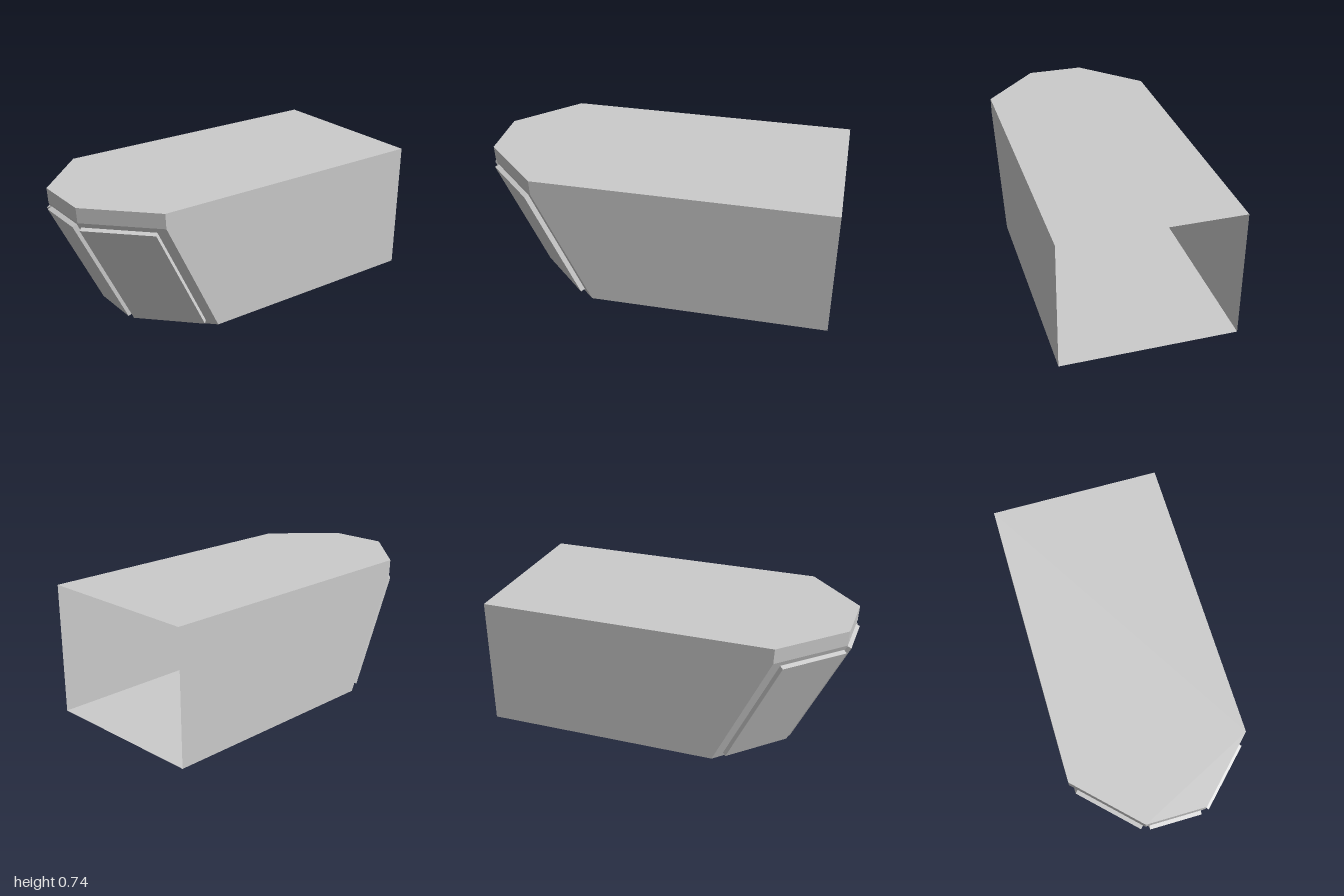
import * as THREE from 'three';

const material = new THREE.MeshStandardMaterial({ color: 0xcccccc, flatShading: true, side: THREE.DoubleSide });

function addMesh(group, name, geometry) {
  const mesh = new THREE.Mesh(geometry, material);
  mesh.name = name;
  group.add(mesh);
}

// Skin of flat quads between outlines of [x, y, z] points
function loft(rings, closed) {
  const pos = [];
  for (let r = 0; r < rings.length - 1; r++) {
    const lo = rings[r], hi = rings[r + 1], n = lo.length;
    for (let i = 0; i < (closed ? n : n - 1); i++) {
      const j = (i + 1) % n;
      pos.push(...lo[i], ...lo[j], ...hi[j], ...lo[i], ...hi[j], ...hi[i]);
    }
  }
  const g = new THREE.BufferGeometry();
  g.setAttribute('position', new THREE.Float32BufferAttribute(pos, 3));
  g.computeVertexNormals();
  return g;
}

// Flat horizontal plate from [x, z] outlines
function plate(outline, y, hole) {
  const toPoints = (pts) => pts.map(([x, z]) => new THREE.Vector2(x, -z));
  const shape = new THREE.Shape(toPoints(outline));
  if (hole) shape.holes.push(new THREE.Path(toPoints(hole)));
  return new THREE.ShapeGeometry(shape).rotateX(-Math.PI / 2).translate(0, y, 0);
}

const atHeight = (pts, y) => pts.map(([x, z]) => [x, y, z]);

// Plan of the body with a chamfered nose, for a given nose position
const W = 0.49, NOSE = 0.165, H = 0.74, BROW = 0.655, Z0 = 0.665, Z1 = 0.983;
const plan = (z) => [
  [-W, -1], [-W, z - W + NOSE], [-NOSE, z], [NOSE, z], [W, z - W + NOSE], [W, -1],
];

// Raised sheet on a nose facet: front(x, y) gives the z of the outer face
function panel(x0, x1, y0, y1, front, normal, thickness) {
  const corners = [[x0, y0], [x1, y0], [x1, y1], [x0, y1]].map(([x, y]) => new THREE.Vector3(x, y, front(x, y)));
  const inner = corners.map((p) => p.clone().addScaledVector(normal, -thickness).toArray());
  const outer = corners.map((p) => p.toArray());
  const centre = outer[0].map((v, k) => (v + outer[2][k]) / 2);
  return loft([inner, outer, outer.map(() => centre)], true);
}

export function createModel() {
  const group = new THREE.Group();

  // Body shell, open at the back
  const bottom = plan(Z0), top = plan(0.988);
  addMesh(group, 'bodyWalls', loft([atHeight(bottom, 0), atHeight(plan(Z1), BROW), atHeight(top, H)], false));
  addMesh(group, 'roof', plate(top, H));

  // Floor with a hollow U-shaped console rising from it
  const console = [
    [-0.42, 0.24], [-0.14, 0.59], [0.14, 0.59], [0.42, 0.24],
    [0.28, 0.24], [0.15, 0.4], [-0.15, 0.4], [-0.28, 0.24],
  ];
  addMesh(group, 'floor', plate(bottom, 0, console));
  addMesh(group, 'consoleWalls', loft([atHeight(console, 0), atHeight(console, 0.14)], true));
  addMesh(group, 'consoleTop', plate(console, 0.14));

  // Window panels on the three sloped nose facets
  const slope = (Z1 - Z0) / BROW, t = 0.027;
  const middle = new THREE.Vector3(0, -slope, 1).normalize();
  const lift = t / middle.z;
  addMesh(group, 'frontWindow', panel(-0.142, 0.142, 0.01, 0.629, (x, y) => Z0 + slope * y + lift, middle, t));
  for (const s of [-1, 1]) {
    const normal = new THREE.Vector3(s, -slope, 1).normalize();
    const sideLift = t / normal.z;
    const front = (x, y) => Z0 + slope * y - (Math.abs(x) - NOSE) + sideLift;
    const [a, b] = s > 0 ? [0.187, 0.467] : [-0.467, -0.187];
    addMesh(group, s > 0 ? 'leftWindow' : 'rightWindow', panel(a, b, 0.018, 0.62, front, normal, t));
  }
  return group;
}
